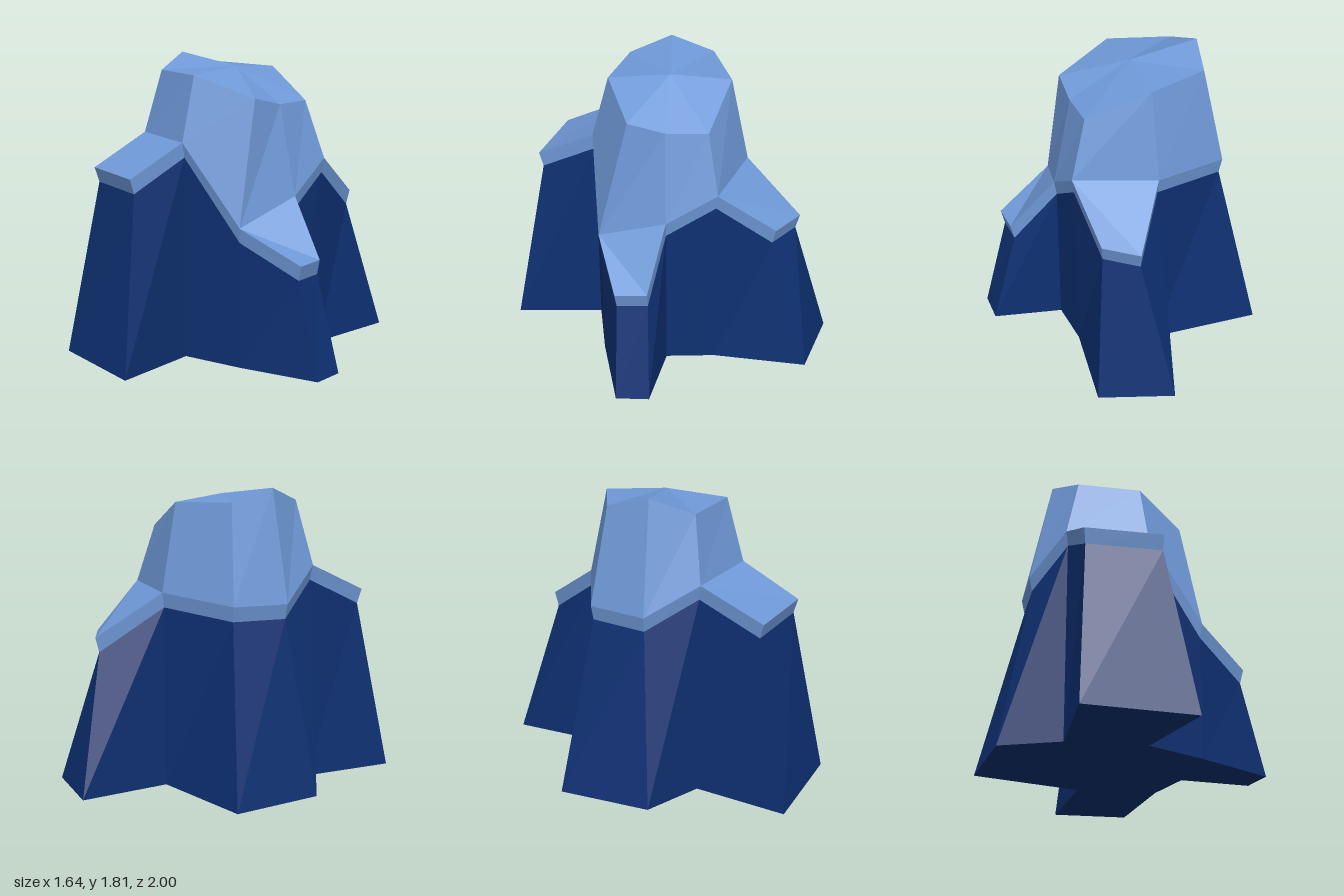
import * as THREE from 'three';

// Outline corners, anticlockwise from above: foot [x, z], rim [x, y, z], and crown [x, y, z] where the cap rises.
// Corners without a crown are the tips of the spurs.
const CORNERS = [
  { foot: [-0.10, 0.46], rim: [-0.10, 1.33, 0.475], crown: [-0.09, 1.72, 0.37] },
  { foot: [0.29, 0.44], rim: [0.30, 0.86, 0.455], crown: [0.28, 1.60, 0.27] },
  { foot: [0.80, 0.38], rim: [0.67, 0.67, 0.37] },
  { foot: [0.82, 0.18], rim: [0.68, 0.67, 0.18] },
  { foot: [0.41, 0.05], rim: [0.425, 1.00, 0.055], crown: [0.31, 1.545, 0.05] },
  { foot: [0.42, -0.25], rim: [0.44, 1.19, -0.25], crown: [0.33, 1.545, -0.20] },
  { foot: [0.55, -0.81], rim: [0.42, 0.925, -0.605] },
  { foot: [0.13, -1.00], rim: [0.25, 0.925, -0.775] },
  { foot: [-0.02, -0.46], rim: [-0.015, 1.19, -0.475], crown: [-0.02, 1.72, -0.365] },
  { foot: [-0.69, -0.55], rim: [-0.50, 1.15, -0.38], crown: [-0.40, 1.735, -0.29] },
  { foot: [-0.825, 0.00], rim: [-0.625, 1.14, -0.05], crown: [-0.49, 1.81, -0.035] },
  { foot: [-0.54, 0.26], rim: [-0.555, 1.33, 0.27], crown: [-0.45, 1.72, 0.225] },
  { foot: [-0.76, 0.80], rim: [-0.65, 1.15, 0.64] },
  { foot: [-0.13, 1.00], rim: [-0.22, 1.15, 0.815] },
];
const PEAK = [-0.05, 1.75, 0];

// Flat-faced mesh from convex polygons, each wound anticlockwise from outside
function facetMesh(name, polygons, material) {
  const positions = [];
  for (const p of polygons) {
    for (let i = 1; i < p.length - 1; i++) positions.push(...p[0], ...p[i], ...p[i + 1]);
  }
  const geometry = new THREE.BufferGeometry();
  geometry.setAttribute('position', new THREE.Float32BufferAttribute(positions, 3));
  geometry.computeVertexNormals();
  const mesh = new THREE.Mesh(geometry, material);
  mesh.name = name;
  return mesh;
}

// Walls joining two closed rings of equal length
function walls(lower, upper) {
  return lower.map((p, i) => {
    const j = (i + 1) % lower.length;
    return [p, lower[j], upper[j], upper[i]];
  });
}

export function createModel() {
  const rock = new THREE.MeshStandardMaterial({ color: 0x0e3072 });
  rock.name = 'dark blue rock';
  const ice = new THREE.MeshStandardMaterial({ color: 0x6f99d8 });
  ice.name = 'pale blue cap';

  const foot = CORNERS.map(({ foot: [x, z] }) => [x, 0, z]);
  const rim = CORNERS.map((c) => c.rim);
  const lip = rim.map(([x, y, z]) => [x * 0.97, y - 0.09, z * 0.97]);

  // Rock walls and underside
  const outline = foot.map(([x, , z]) => new THREE.Vector2(x, -z));
  const underside = THREE.ShapeUtils.triangulateShape(outline, [])
    .map(([a, b, c]) => [foot[c], foot[b], foot[a]]);
  const base = facetMesh('rockBase', [...walls(foot, lip), ...underside], rock);

  // Edge of the cap
  const edge = facetMesh('capEdge', walls(lip, rim), ice);

  // Sloping tops of the three spurs, and the steep sides of the cap
  const inner = CORNERS.filter((c) => c.crown);
  const spurs = [[1, 2, 3, 4], [5, 6, 7, 8], [11, 12, 13, 0]].map((s) => s.map((i) => rim[i]));
  const spurTops = facetMesh('spurTops', spurs, ice);
  const crown = inner.map((c) => c.crown);
  const sides = facetMesh('capSides', walls(inner.map((c) => c.rim), crown), ice);

  // Faceted summit
  const summit = facetMesh('summit',
    crown.map((p, i) => [p, crown[(i + 1) % crown.length], PEAK]), ice);

  const group = new THREE.Group();
  group.name = 'mountain';
  group.add(base, edge, spurTops, sides, summit);
  return group;
}
